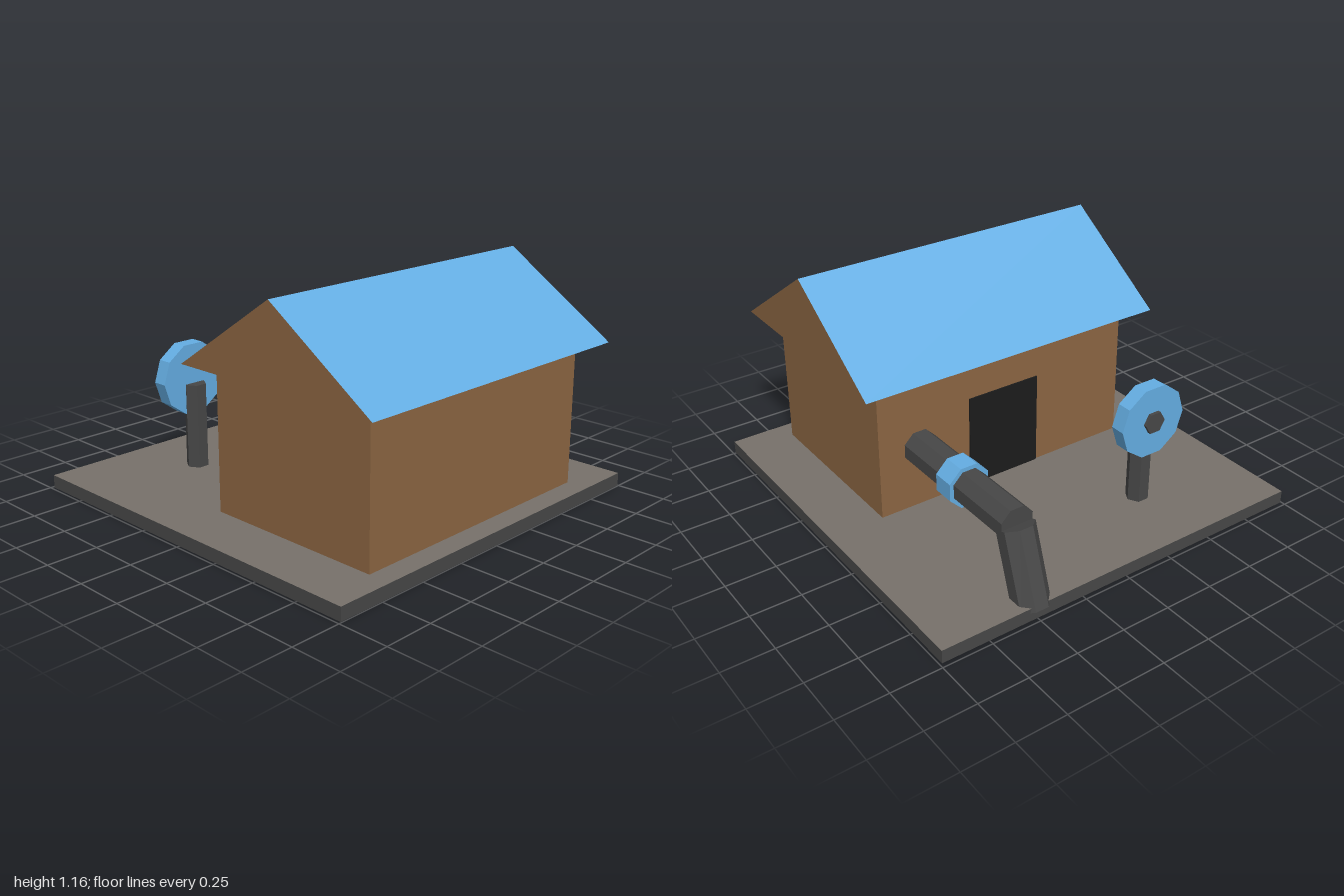
import * as THREE from 'three';

export function createModel() {
  const group = new THREE.Group();
  const mat = (name, color, side = THREE.FrontSide) => {
    const m = new THREE.MeshStandardMaterial({ color, side, flatShading: true });
    m.name = name;
    return m;
  };
  const DS = THREE.DoubleSide;
  const blue = mat('blue', 0x64ade2, DS);
  const brown = mat('brown', 0x8b6542, DS);
  const ground = mat('ground grey', 0x77716a, DS);
  const iron = mat('dark iron', 0x474747, DS);
  const black = mat('doorway black', 0x1c1c1c);

  const add = (name, geometry, material) => {
    const mesh = new THREE.Mesh(geometry, material);
    mesh.name = name;
    group.add(mesh);
    return mesh;
  };

  // Flat convex panels, each given by its corners counter-clockwise from outside
  const panels = (name, material, faces) => {
    const p = [];
    for (const f of faces)
      for (let i = 1; i < f.length - 1; i++) p.push(...f[0], ...f[i], ...f[i + 1]);
    const g = new THREE.BufferGeometry();
    g.setAttribute('position', new THREE.Float32BufferAttribute(p, 3));
    g.computeVertexNormals();
    return add(name, g, material);
  };

  // Four upright sides of a box without top or bottom
  const sides = (name, material, x, z0, z1, y0, y1) => {
    const c = [[-x, z1], [x, z1], [x, z0], [-x, z0]];
    return panels(name, material, c.map(([ax, az], i) => {
      const [bx, bz] = c[(i + 1) % 4];
      return [[ax, y0, az], [bx, y0, bz], [bx, y1, bz], [ax, y1, az]];
    }));
  };

  // Prism with a flat side facing x and z (half = 0.5) or a corner on x (half = 0)
  const prism = (name, material, radius, length, n, start, pos, tilt = 0) => {
    const g = new THREE.CylinderGeometry(radius, radius, length, n, 1, false, start);
    const mesh = add(name, g, material);
    mesh.position.set(...pos);
    mesh.rotation.x = tilt;
    return mesh;
  };

  // Ground slab, open underneath
  sides('baseRim', iron, 0.99, -0.98, 1.0, 0.004, 0.07);
  panels('baseTop', ground, [
    [[-0.99, 0.07, 1], [0.99, 0.07, 1], [0.99, 0.07, -0.98], [-0.99, 0.07, -0.98]],
  ]);

  // House walls and the doorway at the back
  sides('walls', brown, 0.71, -0.04, 0.89, 0.07, 0.775);
  const door = add('doorway', new THREE.BoxGeometry(0.4, 0.48, 0.008), black);
  door.position.set(0.01, 0.31, -0.043);

  // Gabled roof, hollow, overhanging on every side
  const X = 0.82, eave = 0.775, ridge = 1.16, zf = 1.0, zm = 0.425, zb = -0.15;
  panels('roofSlopes', blue, [
    [[-X, eave, zf], [X, eave, zf], [X, ridge, zm], [-X, ridge, zm]],
    [[X, eave, zb], [-X, eave, zb], [-X, ridge, zm], [X, ridge, zm]],
  ]);
  panels('gables', brown, [
    [[X, eave, zf], [X, eave, zb], [X, ridge, zm]],
    [[-X, eave, zb], [-X, eave, zf], [-X, ridge, zm]],
  ]);

  // Outlet pipe with collar and bent-down leg
  const oct = Math.PI / 8, quarter = Math.PI / 2;
  prism('pipe', iron, 0.089, 0.77, 8, oct, [0.49, 0.388, -0.425], quarter);
  prism('pipeCollar', blue, 0.111, 0.11, 8, oct, [0.49, 0.388, -0.395], quarter);
  prism('pipeLeg', iron, 0.089, 0.374, 8, oct, [0.49, 0.204, -0.859], 0.325);

  // Valve wheel on a post
  const hex = Math.PI / 6;
  prism('valvePost', iron, 0.057, 0.435, 6, hex, [-0.39, 0.2825, -0.594]);
  prism('valveAxle', iron, 0.057, 0.09, 6, hex, [-0.39, 0.524, -0.645], quarter);
  prism('valveWheel', blue, 0.185, 0.075, 10, Math.PI / 10, [-0.39, 0.524, -0.636], quarter);

  return group;
}
